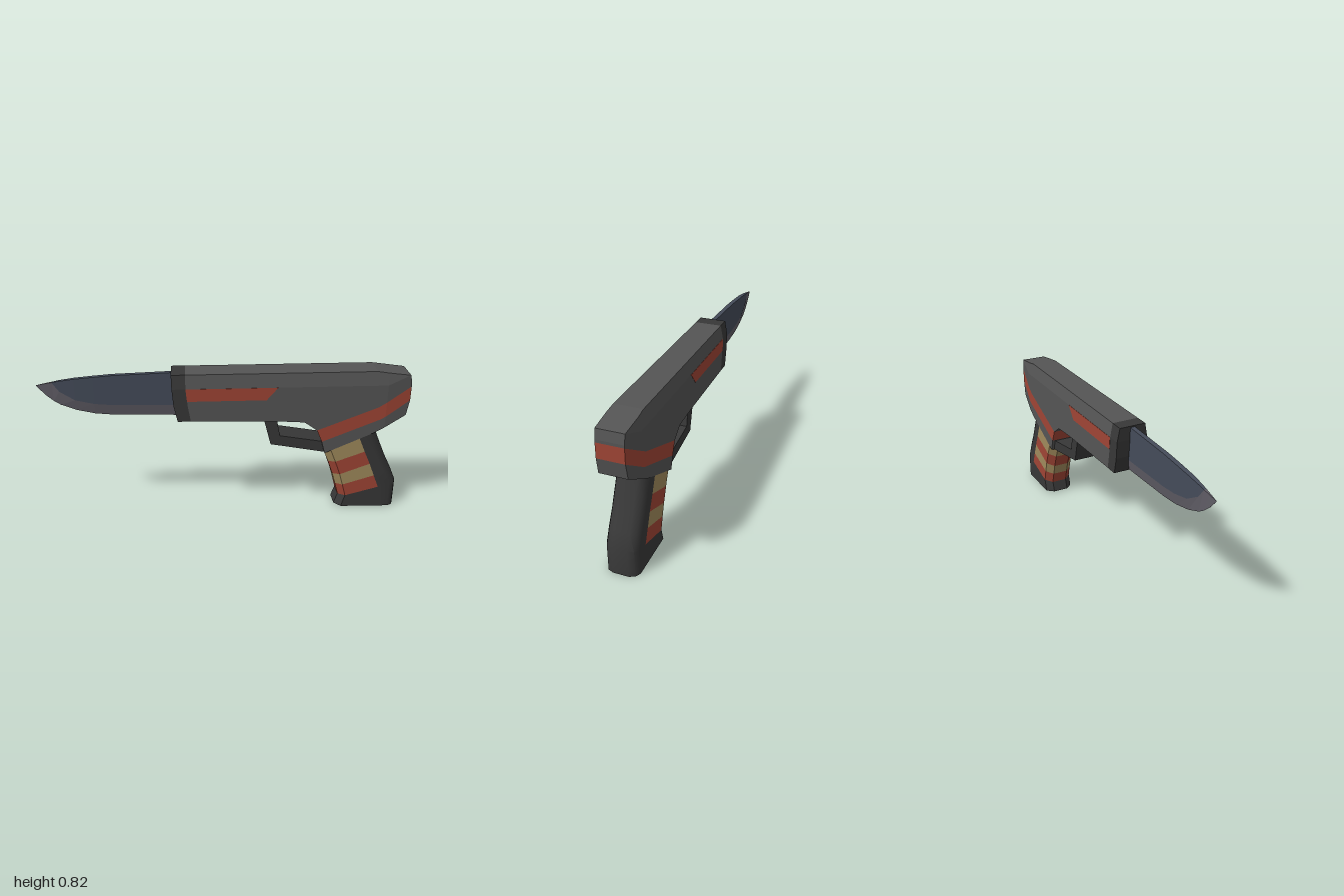
import * as THREE from 'three';
import { toCreasedNormals } from 'three/addons/utils/BufferGeometryUtils.js';

const GREY = 0x555555, DARK = 0x383838, RED = 0xa04535, TAN = 0xa08a5c, STEEL = 0x454c5a, EDGE = 0x625f68;

// Half width of the body: chamfered above the shoulder, tapered at the rear
const bodyWidth = (x, y) => Math.min(
  0.087 - Math.max(0, y - 0.745) * 0.19,
  0.087 - Math.max(0, x - 0.87) * 0.13);

function addMesh(parent, name, geometry, color) {
  const mesh = new THREE.Mesh(geometry, new THREE.MeshStandardMaterial({ color }));
  mesh.name = name;
  parent.add(mesh);
  return mesh;
}

// Side outline thickened to both sides by a width rule
function slab(outline, width = bodyWidth) {
  const shape = new THREE.Shape(outline.map(([x, y]) => new THREE.Vector2(x, y)));
  const geo = new THREE.ExtrudeGeometry(shape, { depth: 1, bevelEnabled: false });
  const p = geo.attributes.position;
  for (let i = 0; i < p.count; i++) {
    p.setZ(i, (p.getZ(i) > 0.5 ? 1 : -1) * width(p.getX(i), p.getY(i)));
  }
  geo.computeVertexNormals();
  return geo;
}

// Closed skin over a row of equal rings, wound outwards
function loft(rings, crease = 0) {
  const n = rings[0].length, tris = [];
  for (let r = 0; r < rings.length - 1; r++) {
    for (let i = 0; i < n; i++) {
      const j = (i + 1) % n;
      const [a, b, c, d] = [rings[r][i], rings[r][j], rings[r + 1][j], rings[r + 1][i]];
      tris.push([a, b, c], [a, c, d]);
    }
  }
  const last = rings[rings.length - 1];
  for (let i = 1; i < n - 1; i++) {
    tris.push([rings[0][0], rings[0][i + 1], rings[0][i]], [last[0], last[i], last[i + 1]]);
  }
  const v = (q) => new THREE.Vector3(...q);
  let volume = 0;
  for (const [a, b, c] of tris) volume += v(a).dot(v(b).cross(v(c)));
  if (volume < 0) tris.forEach((t) => t.reverse());
  const geo = new THREE.BufferGeometry();
  geo.setAttribute('position', new THREE.Float32BufferAttribute(tris.flat(2), 3));
  geo.computeVertexNormals();
  return crease ? toCreasedNormals(geo, crease) : geo;
}

// Mirrors a half section (points x, y, z) across z = 0 into a ring
const mirrorRing = (half) => [...half, ...half.slice().reverse().map(([x, y, z]) => [x, y, -z])];

function buildBody() {
  const body = new THREE.Group();
  body.name = 'body';
  const parts = [
    ['bodyTop', GREY, [[-0.21, 0.82], [0.81, 0.82], [0.87, 0.811], [0.87, 0.745], [-0.21, 0.745]]],
    ['bodySide', GREY, [[-0.21, 0.745], [0.87, 0.745], [0.87, 0.646], [0.83, 0.62], [0.5, 0.49],
      [0.43, 0.54], [0.28, 0.55], [-0.185, 0.56], [-0.2, 0.65]]],
    ['rearTop', GREY, [[0.87, 0.811], [0.99, 0.795], [1, 0.745], [0.87, 0.745]]],
    ['rearSide', GREY, [[0.87, 0.745], [1, 0.745], [1, 0.73], [0.87, 0.646]]],
    ['rearStripeFront', RED, [[0.5, 0.49], [0.83, 0.62], [0.87, 0.646], [0.87, 0.563], [0.85, 0.55], [0.53, 0.42]]],
    ['rearStripeBack', RED, [[0.87, 0.646], [1, 0.73], [1, 0.65], [0.87, 0.563]]],
    ['lowerBand', GREY, [[0.53, 0.42], [0.85, 0.55], [0.87, 0.563], [0.87, 0.499], [0.82, 0.47], [0.55, 0.35]]],
    ['lowerBandRear', GREY, [[0.87, 0.563], [1, 0.65], [0.985, 0.565], [0.87, 0.499]]],
    ['collarTop', DARK, [[-0.285, 0.82], [-0.21, 0.82], [-0.21, 0.745], [-0.283, 0.745]]],
    ['collarSide', DARK, [[-0.283, 0.745], [-0.21, 0.745], [-0.2, 0.65], [-0.185, 0.56], [-0.255, 0.56], [-0.275, 0.65]]],
  ];
  for (const [name, color, outline] of parts) addMesh(body, name, slab(outline), color);
  // Coloured stripe lying on both flanks
  const stripe = [[-0.21, 0.745], [0.28, 0.745], [0.22, 0.675], [-0.203, 0.675]];
  addMesh(body, 'sideStripe', slab(stripe, () => 0.0885), RED);
  return body;
}

function buildBlade() {
  const blade = new THREE.Group();
  blade.name = 'blade';
  // Stations: x, spine, bevel line, cutting edge, half thickness
  const stations = [
    [-0.22, 0.815, 0.625, 0.562, 0.013], [-0.6, 0.802, 0.633, 0.572, 0.013],
    [-0.7, 0.794, 0.642, 0.582, 0.013], [-0.8, 0.785, 0.665, 0.605, 0.012],
    [-0.88, 0.774, 0.715, 0.637, 0.009], [-0.915, 0.767, 0.764, 0.66, 0.007],
    [-0.955, 0.76, 0.759, 0.695, 0.004], [-1, 0.751, 0.75, 0.749, 0.0005],
  ];
  const flat = stations.map(([x, top, mid, , w]) => mirrorRing([[x, top, w], [x, mid, w]]));
  const bevel = stations.map(([x, , mid, low, w]) => mirrorRing([[x, mid, w], [x, low, 0.0005]]));
  addMesh(blade, 'bladeFlat', loft(flat.slice(0, 6)), STEEL);
  addMesh(blade, 'bladeTip', loft(flat.slice(5)), EDGE);
  addMesh(blade, 'cuttingEdge', loft(bevel), EDGE);
  return blade;
}

function buildGrip() {
  const grip = new THREE.Group();
  grip.name = 'grip';
  const w = 0.085;
  // Rows from top to bottom: front, panel edge and back points in side view
  const rows = [
    [[0.55, 0.35], [0.74, 0.435], [0.83, 0.472]],
    [[0.58, 0.28], [0.775, 0.352], [0.867, 0.385]],
    [[0.61, 0.2], [0.81, 0.275], [0.9, 0.31]],
    [[0.63, 0.135], [0.84, 0.2], [0.94, 0.23]],
    [[0.65, 0.065], [0.87, 0.125], [0.975, 0.15]],
    [[0.63, 0.005], [0.88, 0.001], [0.975, 0]],
  ];
  const between = (a, b, d) => {
    const t = d / (b[0] - a[0]);
    return [a[0] + d, a[1] + (b[1] - a[1]) * t];
  };
  const front = rows.map(([f, p]) => mirrorRing([[...f, 0.045], [...between(f, p, 0.035), w], [...p, w]]));
  const back = rows.map(([, p, b]) => mirrorRing([
    [...p, w], [...between(b, p, -0.04), w], [...between(b, p, -0.012), 0.07], [...b, 0.04]]));
  // Striped front panel, then the plain foot below it
  [TAN, RED, TAN, RED, DARK].forEach((color, i) =>
    addMesh(grip, i < 4 ? `gripStripe${i + 1}` : 'gripFoot', loft(front.slice(i, i + 2)), color));
  addMesh(grip, 'gripBack', loft(back, 0.75), DARK);
  return grip;
}

export function createModel() {
  const model = new THREE.Group();
  model.name = 'bladedPistol';
  model.add(buildBody(), buildBlade(), buildGrip());
  // Bent trigger guard
  const guard = [[0.21, 0.555], [0.25, 0.405], [0.55, 0.35], [0.535, 0.415], [0.3, 0.455], [0.28, 0.555]];
  addMesh(model, 'triggerGuard', slab(guard, () => 0.07), DARK);
  return model;
}
